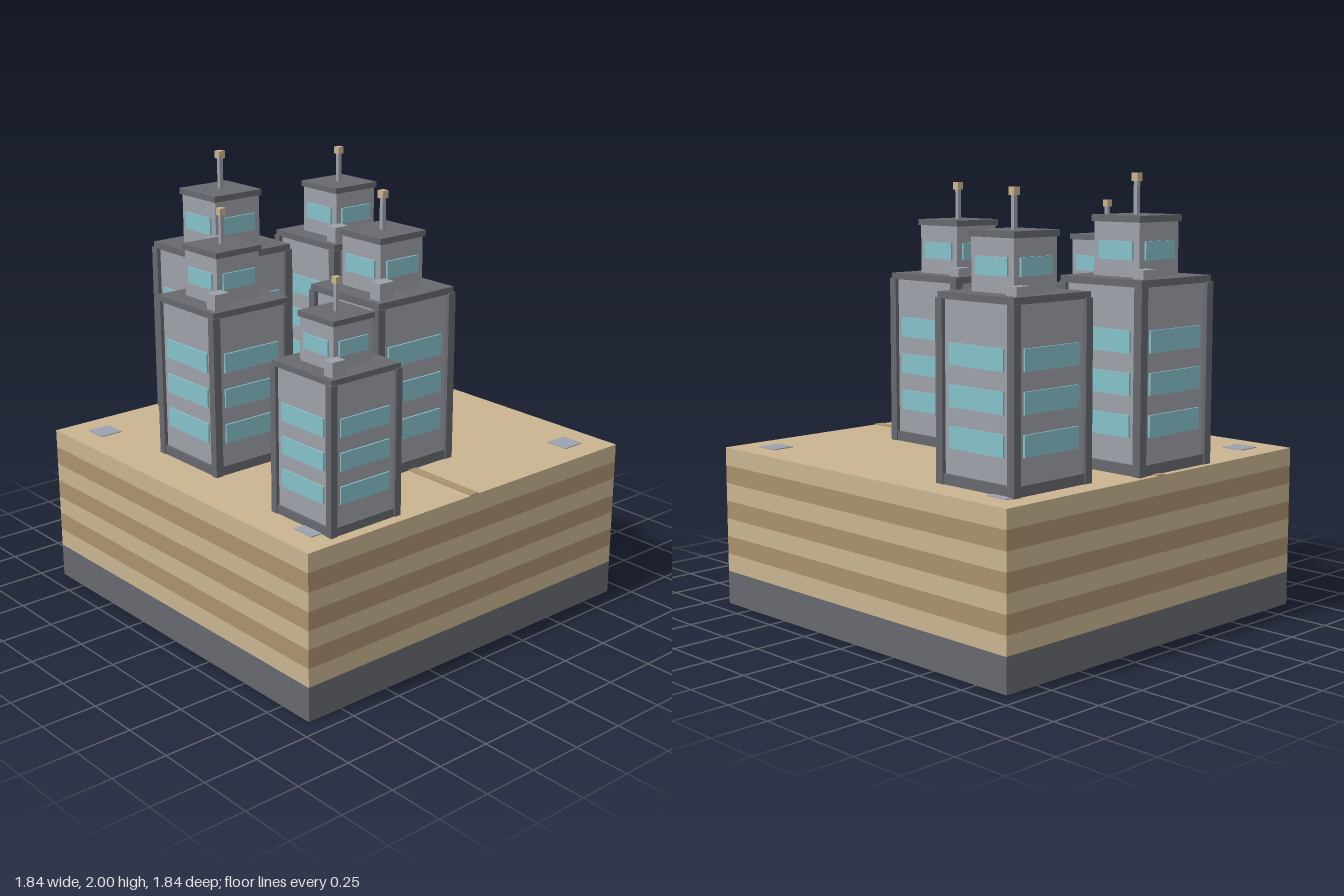
import * as THREE from 'three';

const mat = (name, color) => new THREE.MeshStandardMaterial({ name, color });

export function createModel() {
  const sand = mat('sand', 0xc9b491);
  const earth = mat('earth', 0xab9170);
  const dark = mat('darkStone', 0x67696f);
  const wall = mat('wallGrey', 0x9fa1a9);
  const glass = mat('glass', 0x86c1ca);
  const paving = mat('paving', 0x9da1b0);

  // box from its size, centre x/z and bottom height
  function box(parent, name, material, [w, h, d], x, y, z) {
    const mesh = new THREE.Mesh(new THREE.BoxGeometry(w, h, d), material);
    mesh.name = name;
    mesh.position.set(x, y + h / 2, z);
    parent.add(mesh);
    return mesh;
  }

  // one thin window band on each of the four sides
  function windowRing(parent, name, width, height, y, half) {
    const t = 0.02;
    for (let i = 0; i < 4; i++) {
      const side = new THREE.Group();
      side.name = name;
      side.rotation.y = i * Math.PI / 2;
      box(side, name + 'Pane', glass, [width, height, t], 0, y, half + t / 2);
      parent.add(side);
    }
  }

  const model = new THREE.Group();
  model.name = 'cityBlock';

  // layered ground block
  const side = 1.84, bedrock = 0.155, ground = 0.74, layers = 7;
  const block = new THREE.Group();
  block.name = 'groundBlock';
  model.add(block);
  box(block, 'bedrock', dark, [side, bedrock, side], 0, 0, 0);
  const step = (ground - bedrock) / layers;
  for (let i = 0; i < layers; i++) {
    box(block, 'soilLayer', i % 2 ? earth : sand, [side, step, side], 0, bedrock + i * step, 0);
  }

  // path and corner paving on the ground
  box(block, 'path', earth, [0.045, 0.004, side], 0, ground, 0);
  for (const x of [-0.755, 0.755]) {
    for (const z of [-0.755, 0.755]) box(block, 'pavingSlab', paving, [0.11, 0.004, 0.11], x, ground, z);
  }

  // tower of unit width, standing on y = 0
  function makeTower() {
    const tower = new THREE.Group();
    tower.name = 'tower';
    box(tower, 'plinth', dark, [0.985, 0.1, 0.985], 0, 0, 0);
    box(tower, 'body', wall, [0.93, 1.6, 0.93], 0, 0.1, 0);
    for (const x of [-1, 1]) {
      for (const z of [-1, 1]) box(tower, 'cornerColumn', dark, [0.088, 1.71, 0.088], x * 0.461, 0, z * 0.461);
    }
    for (const y of [0.342, 0.724, 1.106]) windowRing(tower, 'windowBand', 0.7, 0.205, y, 0.465);
    box(tower, 'roofSlab', dark, [0.98, 0.065, 0.98], 0, 1.7, 0);

    // roof machinery
    box(tower, 'lowVent', wall, [0.18, 0.085, 0.13], 0.32, 1.765, -0.375);
    box(tower, 'tallVent', wall, [0.18, 0.17, 0.14], -0.335, 1.765, 0.365);

    // penthouse, cap and mast
    box(tower, 'penthouse', wall, [0.545, 0.5, 0.545], 0, 1.765, 0);
    windowRing(tower, 'penthouseWindow', 0.405, 0.17, 1.92, 0.2725);
    box(tower, 'penthouseCap', dark, [0.585, 0.06, 0.585], 0, 2.26, 0);
    box(tower, 'mast', wall, [0.042, 0.31, 0.042], 0, 2.32, 0);
    box(tower, 'beacon', sand, [0.072, 0.075, 0.072], 0, 2.625, 0);
    return tower;
  }

  // x, z and width of each tower
  const sites = [
    [-0.122, -0.66, 0.467],
    [0.554, -0.595, 0.448],
    [-0.503, -0.152, 0.418],
    [0.012, 0.315, 0.448],
    [-0.574, 0.686, 0.372],
  ];
  for (const [x, z, width] of sites) {
    const tower = makeTower();
    tower.scale.setScalar(width);
    tower.position.set(x, ground, z);
    model.add(tower);
  }
  return model;
}
